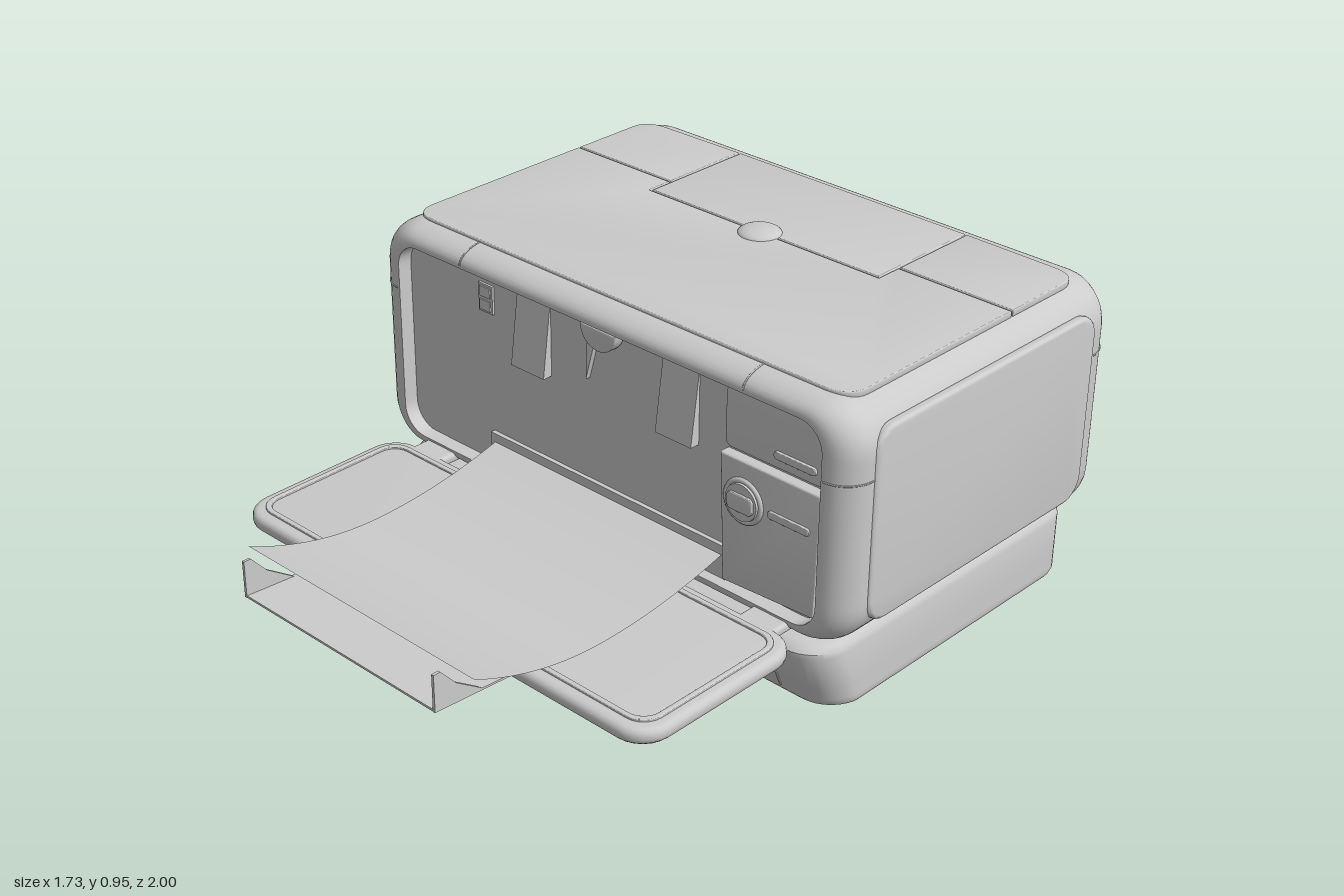
import * as THREE from 'three';
import { toCreasedNormals } from 'three/addons/utils/BufferGeometryUtils.js';
import { RoundedBoxGeometry } from 'three/addons/geometries/RoundedBoxGeometry.js';

const grey = new THREE.MeshStandardMaterial({ color: 0xcccccc });
const thin = new THREE.MeshStandardMaterial({ color: 0xcccccc, side: THREE.DoubleSide });

// Points of a rounded rectangle, counter-clockwise, with subdivided edges
function ringPoints({ w, h, r, cy = 0 }, arc = 8, edge = 20) {
  const corners = [[1, 1], [-1, 1], [-1, -1], [1, -1]].map(([sx, sy], c) =>
    Array.from({ length: arc + 1 }, (_, j) => {
      const a = (c + j / arc) * Math.PI / 2;
      return new THREE.Vector2(sx * (w - r) + r * Math.cos(a), cy + sy * (h - r) + r * Math.sin(a));
    }));
  return corners.flatMap((pts, c) => {
    const next = corners[(c + 1) % 4][0], fill = [];
    for (let k = 1; k < edge; k++) fill.push(pts[arc].clone().lerp(next, k / edge));
    return [...pts, ...fill];
  });
}

// Skin over rounded-rectangle rings stacked along z, closed at both ends
function loft(rings) {
  const pos = [], idx = [];
  rings.forEach(ring => ringPoints(ring).forEach(p => pos.push(p.x, p.y, ring.z)));
  const n = pos.length / 3 / rings.length, last = (rings.length - 1) * n;
  const first = rings[0], end = rings[rings.length - 1];
  pos.push(0, first.cy, first.z, 0, end.cy, end.z);
  for (let i = 0; i < n; i++) {
    const j = (i + 1) % n;
    for (let k = 0; k < last; k += n) idx.push(k + i, k + j, k + n + j, k + i, k + n + j, k + n + i);
    idx.push(last + n, j, i, last + n + 1, last + i, last + j);
  }
  const g = new THREE.BufferGeometry();
  g.setAttribute('position', new THREE.Float32BufferAttribute(pos, 3));
  g.setIndex(idx);
  return g;
}

const rectShape = (w, h, r) => new THREE.Shape(ringPoints({ w: w / 2, h: h / 2, r }, 6, 1));

// Plate with rounded edges, from z = 0 to z = depth
function plate(shape, depth, bevel) {
  const g = new THREE.ExtrudeGeometry(shape, {
    depth: depth - 2 * bevel, bevelThickness: bevel, bevelSize: bevel, bevelOffset: -bevel, bevelSegments: 3, curveSegments: 8,
  }).translate(0, 0, bevel);
  return toCreasedNormals(g, 0.6);
}

export function createModel() {
  const model = new THREE.Group();
  const add = (name, geo, x = 0, y = 0, z = 0, parent = model, mat = grey) => {
    const m = new THREE.Mesh(geo, mat);
    m.name = name;
    m.position.set(x, y, z);
    parent.add(m);
    return m;
  };
  const box = (name, w, h, d, x, y, z, parent) => add(name, new THREE.BoxGeometry(w, h, d), x, y, z, parent);

  // Main housing: rounded shell with a shallow recess in the front
  const rings = [], S = 7;
  const shell = (z, k) => rings.push({ z, w: 0.857 - 0.085 * k, h: 0.345 - 0.045 * k, r: 0.13 - 0.05 * k, cy: 0.582 });
  for (let i = 0; i <= S; i++) {
    const a = i / S * Math.PI / 2;
    shell(-0.905 - 0.09 * Math.cos(a), 1 - Math.sin(a));
  }
  for (let i = 0; i <= S; i++) {
    const a = i / S * Math.PI / 2;
    shell(0.01 + 0.09 * Math.sin(a), 1 - Math.cos(a));
  }
  const opening = { w: 0.765, h: 0.293, r: 0.075, cy: 0.58 };
  rings.push({ ...opening, z: 0.1 }, { ...opening, z: 0.055 });
  add('housing', toCreasedNormals(loft(rings), 0.6));

  // Side and back panels
  for (const s of [-1, 1]) {
    const side = add('sidePanel', plate(rectShape(0.91, 0.56, 0.07), 0.03, 0.012), s * 0.833, 0.585, -0.445);
    side.rotation.y = s * Math.PI / 2;
  }
  add('backPanel', plate(rectShape(1.53, 0.56, 0.07), 0.03, 0.012), 0, 0.585, -0.97).rotation.y = Math.PI;

  // Top: front lid with a notch, two rear corners and the rear door
  const lid = new THREE.Shape();
  lid.moveTo(-0.78, 0.622); lid.lineTo(-0.78, 0.05);
  lid.quadraticCurveTo(-0.78, -0.025, -0.7, -0.025); lid.lineTo(0.7, -0.025);
  lid.quadraticCurveTo(0.78, -0.025, 0.78, 0.05); lid.lineTo(0.78, 0.622);
  lid.lineTo(0.414, 0.622); lid.lineTo(0.414, 0.54); lid.lineTo(-0.414, 0.54); lid.lineTo(-0.414, 0.622);
  const topPlate = (name, shape) => add(name, plate(shape, 0.02, 0.003), 0, 0.914, 0).rotation.x = -Math.PI / 2;
  topPlate('topLid', lid);
  for (const s of [-1, 1]) {
    const corner = new THREE.Shape();
    corner.moveTo(s * 0.414, 0.628); corner.lineTo(s * 0.78, 0.628); corner.lineTo(s * 0.78, 0.85);
    corner.quadraticCurveTo(s * 0.78, 0.915, s * 0.7, 0.915); corner.lineTo(s * 0.414, 0.92);
    topPlate('rearTopPanel', corner);
  }
  const door = new THREE.Shape([[-0.408, 0.546], [0.408, 0.546], [0.408, 0.92], [-0.408, 0.92]].map(p => new THREE.Vector2(...p)));
  topPlate('rearDoor', door);
  add('doorKnob', new THREE.SphereGeometry(0.062, 32, 8, 0, Math.PI * 2, 0, Math.PI / 2).scale(1, 0.32, 1), 0, 0.932, -0.54);

  // Fine seams around the housing corners and over the front edge
  for (const s of [-1, 1]) {
    const quarter = () => new THREE.TorusGeometry(1, 0.025, 6, 12, Math.PI / 2);
    add('cornerSeam', quarter().rotateX(Math.PI / 2).scale(s * 0.086, 0.091, 0.091), s * 0.772, 0.73, 0.01, model, thin);
    add('cornerSeam', quarter().rotateX(-Math.PI / 2).scale(s * 0.086, 0.091, 0.091), s * 0.772, 0.73, -0.905, model, thin);
    add('edgeSeam', quarter().rotateY(-Math.PI / 2).scale(0.1, 0.046, 0.091), s * 0.51, 0.882, 0.01, model, thin);
  }
  const cornerButton = add('cornerButton', new THREE.SphereGeometry(0.042, 24, 12).scale(1, 1, 0.35), 0.775, 0.868, 0.06);
  cornerButton.rotation.set(-0.6, 0.6, 0);

  // Details inside the front recess
  for (const x of [-0.27, 0.265]) {
    const wedge = new THREE.Shape([[0, 0], [-0.03, 0], [0, 0.225]].map(p => new THREE.Vector2(...p)));
    const g = new THREE.ExtrudeGeometry(wedge, { depth: 0.125, bevelEnabled: false }).translate(0, 0, -0.0625).rotateY(Math.PI / 2);
    add('paperGuide', g, x, 0.64, 0.055);
  }
  const fin = new THREE.Shape([[0, 0], [0.03, 0.11], [0, 0.11]].map(p => new THREE.Vector2(...p)));
  add('guideFin', plate(fin, 0.02, 0.002), -0.062, 0.69, 0.05);
  const halfDisc = new THREE.Shape().absarc(0, 0, 0.065, Math.PI, Math.PI * 2);
  add('fingerTab', plate(halfDisc, 0.035, 0.004), 0, 0.865, 0.055);
  box('portFrame', 0.054, 0.084, 0.012, -0.453, 0.79, 0.056);
  for (const y of [0.77, 0.81]) box('port', 0.04, 0.03, 0.012, -0.453, y, 0.06);
  box('paperExit', 0.88, 0.1, 0.02, 0, 0.335, 0.058);

  // Control panel with dial and slots
  const face = new THREE.Shape([[0.445, 0.302], [0.75, 0.318], [0.76, 0.675], [0.43, 0.675]].map(p => new THREE.Vector2(...p)));
  add('controlPanel', plate(face, 0.035, 0.005), 0, 0, 0.053);
  add('upperPanel', plate(rectShape(0.32, 0.17, 0.02), 0.02, 0.004), 0.59, 0.772, 0.05);
  add('dialRing', new THREE.TorusGeometry(0.058, 0.008, 8, 32), 0.512, 0.563, 0.088);
  add('dial', new THREE.CylinderGeometry(0.052, 0.056, 0.02, 32).rotateX(Math.PI / 2), 0.512, 0.563, 0.09);
  add('dialButton', plate(rectShape(0.085, 0.05, 0.015), 0.012, 0.003), 0.512, 0.563, 0.095);
  add('slotTrim', plate(rectShape(0.135, 0.022, 0.01), 0.012, 0.003), 0.662, 0.562, 0.083);
  add('slotTrim', plate(rectShape(0.135, 0.022, 0.01), 0.012, 0.003), 0.662, 0.726, 0.066);

  // Base: rounded block with leaning front and a finger scoop
  const levels = [[0, 0.03], [0.004, 0.014], [0.012, 0.004], [0.022, 0], [0.035, 0], [0.05, 0], [0.065, 0], [0.08, 0],
    [0.19, 0], [0.205, 0.004], [0.217, 0.014], [0.224, 0.035]];
  const base = loft(levels.map(([z, i]) => ({ z, w: 0.788 - i, h: 0.555 - i, r: 0.11 - i, cy: 0.445 })));
  base.rotateX(-Math.PI / 2);
  const p = base.attributes.position;
  for (let i = 0; i < p.count; i++) {
    const x = p.getX(i), y = p.getY(i), z = p.getZ(i);
    const lean = 0.42 * Math.min(0, y - 0.2) * THREE.MathUtils.smoothstep(z, -0.15, 0.05);
    const scoop = z > 0 ? 0.07 * Math.exp(-((x / 0.15) ** 4)) * Math.max(0, 1 - y / 0.08) : 0;
    p.setZ(i, z + lean - scoop);
  }
  add('base', toCreasedNormals(base, 0.6));
  box('neck', 1.4, 0.06, 0.98, 0, 0.235, -0.46);

  // Seams of the paper drawer on the leaning front
  const drawer = new THREE.Group();
  drawer.name = 'drawerSeams';
  drawer.position.set(0, 0.2, 0.11);
  drawer.rotation.x = Math.atan(0.42);
  model.add(drawer);
  for (const s of [-1, 1]) {
    box('drawerSideSeam', 0.006, 0.145, 0.006, s * 0.33, -0.115, 0, drawer);
    box('panelSideSeam', 0.006, 0.17, 0.006, s * 0.617, -0.095, 0, drawer);
  }
  box('drawerTopSeam', 0.66, 0.006, 0.006, 0, -0.042, 0, drawer);
  box('panelTopSeam', 1.24, 0.006, 0.006, 0, -0.008, 0, drawer);

  // Folded-down front door with a raised rim
  add('frontDoor', plate(rectShape(1.525, 0.57, 0.09), 0.046, 0.018), 0, 0.235, 0.425).rotation.x = -Math.PI / 2;
  const rim = rectShape(1.46, 0.5, 0.06);
  rim.holes.push(new THREE.Path(ringPoints({ w: 0.715, h: 0.235, r: 0.05 }, 6, 1)));
  add('doorRim', plate(rim, 0.012, 0.003), 0, 0.276, 0.423).rotation.x = -Math.PI / 2;
  for (const s of [-1, 1]) add('hinge', new RoundedBoxGeometry(0.12, 0.03, 0.12, 3, 0.012), s * 0.62, 0.265, 0.12);

  // Tray extension with upright end fins
  const tray = box('trayExtension', 0.72, 0.006, 0.36, 0, 0.299, 0.82);
  tray.rotation.x = -0.07;
  const stop = new THREE.Shape([[-0.84, 0.298], [-1, 0.308], [-1, 0.415], [-0.978, 0.415], [-0.93, 0.36]].map(q => new THREE.Vector2(...q)));
  for (const s of [-1, 1]) {
    const g = new THREE.ExtrudeGeometry(stop, { depth: 0.008, bevelEnabled: false }).rotateY(Math.PI / 2);
    add('trayFin', g, s * 0.356 - 0.004, 0, 0, model, thin);
  }

  // Curled sheet of paper
  const sheet = new THREE.PlaneGeometry(0.85, 0.88, 1, 32).rotateX(-Math.PI / 2).translate(0, 0, 0.49);
  const q = sheet.attributes.position;
  for (let i = 0; i < q.count; i++) {
    const t = q.getZ(i) - 0.5;
    q.setY(i, 0.298 + (t > 0 ? 0.55 : 0.32) * t * t);
  }
  sheet.computeVertexNormals();
  add('paper', sheet, 0, 0, 0, model, thin);

  return model;
}
